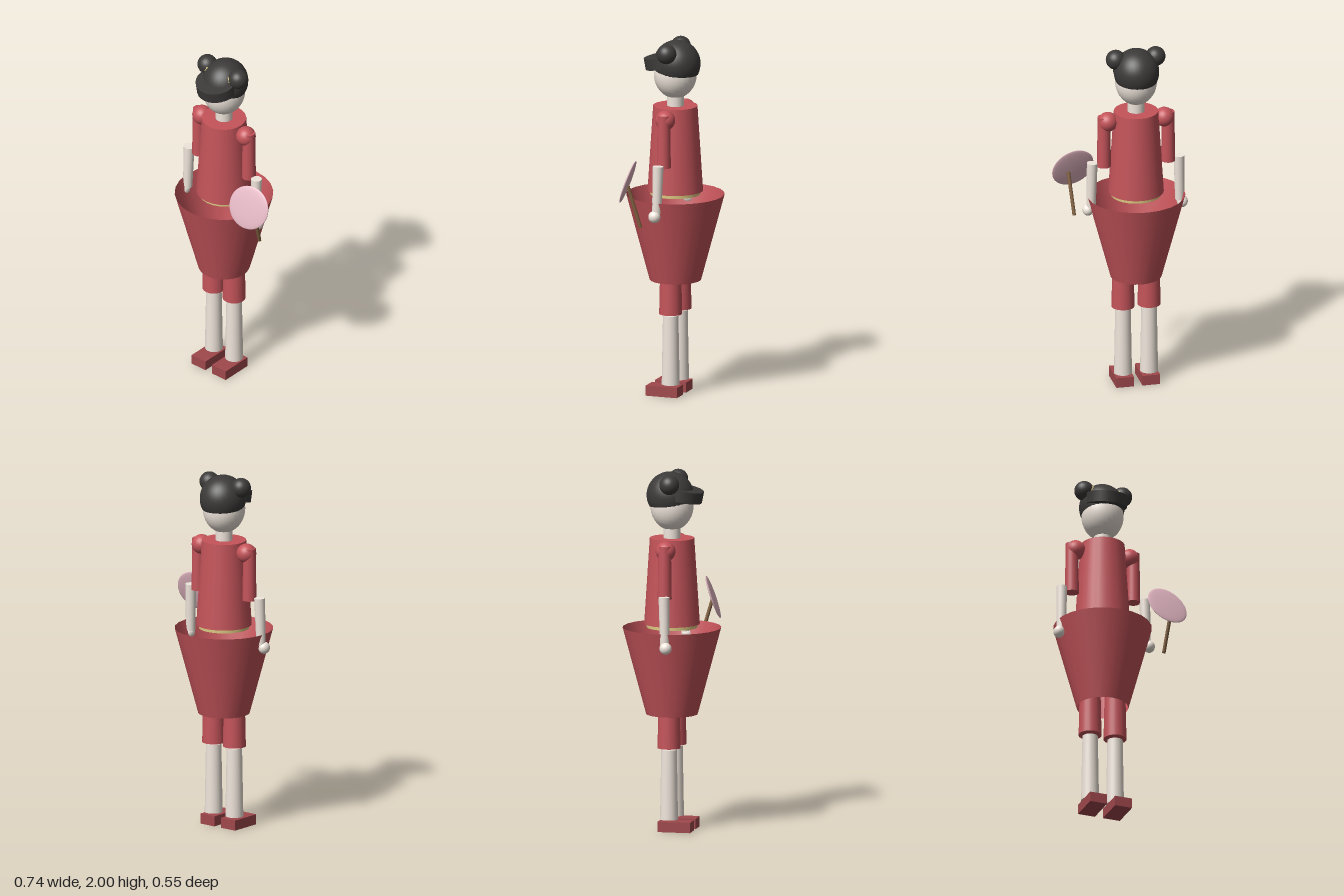
import * as THREE from 'three';

const paint = (color, side = THREE.FrontSide) => new THREE.MeshStandardMaterial({ color, side });
const red = paint(0xc4545a);
const shoeRed = paint(0xa0484c);
const skin = paint(0xf0e6dc);
const hair = paint(0x3c3a39, THREE.DoubleSide);
const pink = paint(0xe2b6c2);
const gold = paint(0xdcc880);
const wood = paint(0x80603f);
const openRed = paint(0xc4545a, THREE.DoubleSide);

const CX = -0.075; // middle of the body

export function createModel() {
  const group = new THREE.Group();

  const add = (name, geometry, material, x, y, z) => {
    const mesh = new THREE.Mesh(geometry, material);
    mesh.name = name;
    mesh.position.set(x, y, z);
    group.add(mesh);
    return mesh;
  };
  const ball = (r) => new THREE.SphereGeometry(r, 28, 20);
  // upright round part between two heights
  const column = (name, material, x, z, y0, y1, r0, r1, open = false) =>
    add(name, new THREE.CylinderGeometry(r1, r0, y1 - y0, 24, 1, open), material, x, (y0 + y1) / 2, z);
  // straight rod between two points
  const rod = (name, material, a, b, ra, rb) => {
    const d = b.clone().sub(a);
    const m = a.clone().add(b).multiplyScalar(0.5);
    const mesh = add(name, new THREE.CylinderGeometry(rb, ra, d.length(), 20), material, m.x, m.y, m.z);
    mesh.quaternion.setFromUnitVectors(new THREE.Vector3(0, 1, 0), d.normalize());
    return mesh;
  };

  // Head, neck and hair
  add('head', ball(0.12), skin, CX, 1.81, 0).scale.set(0.97, 1.15, 1);
  column('neck', skin, CX, 0, 1.6, 1.71, 0.047, 0.047);
  const cap = new THREE.SphereGeometry(0.131, 32, 20, 0, Math.PI * 2, 0, Math.PI * 0.63);
  const hairCap = add('hairCap', cap, hair, CX, 1.868, -0.01);
  hairCap.rotation.x = -0.07;
  hairCap.scale.set(0.96, 1, 1);
  const fringe = add('fringe', new THREE.CylinderGeometry(0.115, 0.115, 0.064, 28), hair, CX, 1.88, 0.06);
  fringe.rotation.x = 0.2;

  // Torso, belt and open flared skirt
  column('torso', red, CX, 0, 1.15, 1.63, 0.154, 0.123);
  column('belt', gold, CX, 0, 1.13, 1.155, 0.14, 0.14);
  column('skirt', openRed, CX, 0, 0.645, 1.13, 0.143, 0.273, true);

  for (const s of [-1, 1]) {
    const side = s < 0 ? 'right' : 'left';
    const at = (d) => CX + s * d;

    // Hair bun with a small gold ornament
    add(side + 'Bun', ball(0.055), hair, at(0.113), 1.942, 0.01);
    const pin = add(side + 'HairOrnament', new THREE.ConeGeometry(0.028, 0.05, 4), gold, at(0.107), 1.95, 0.05);
    pin.rotation.set(0.35, 0, s * -0.9);
    pin.scale.z = 0.6;

    // Arm
    add(side + 'Shoulder', ball(0.055), red, at(0.16), 1.578, 0);
    column(side + 'Sleeve', red, at(0.182), 0, 1.315, 1.61, 0.039, 0.035);
    rod(side + 'Forearm', skin, new THREE.Vector3(at(0.252), 1.07, 0.016),
      new THREE.Vector3(at(0.246), 1.335, 0.01), 0.026, 0.03);
    add(side + 'Hand', ball(0.034), skin, at(0.268), 1.052, 0.024).scale.x = 0.9;

    // Leg
    column(side + 'Trouser', red, at(0.074), 0, 0.465, 0.74, 0.064, 0.058);
    column(side + 'Leg', skin, at(0.074), 0, 0.066, 0.456, 0.05, 0.043);
    add(side + 'Shoe', new THREE.BoxGeometry(0.1, 0.057, 0.184), shoeRed, at(0.074), 0.0285, 0.037);
  }

  // Round hand fan, leaning back at the top
  const fan = add('fanDisc', ball(0.123), pink, 0.246, 1.253, 0.16);
  fan.scale.set(1, 1, 0.09);
  fan.quaternion.setFromUnitVectors(new THREE.Vector3(0, 0, 1),
    new THREE.Vector3(0.18, 0.36, 1).normalize());
  rod('fanHandle', wood, new THREE.Vector3(0.256, 1.0, 0.082),
    new THREE.Vector3(0.274, 1.235, 0.15), 0.01, 0.01);

  return group;
}
